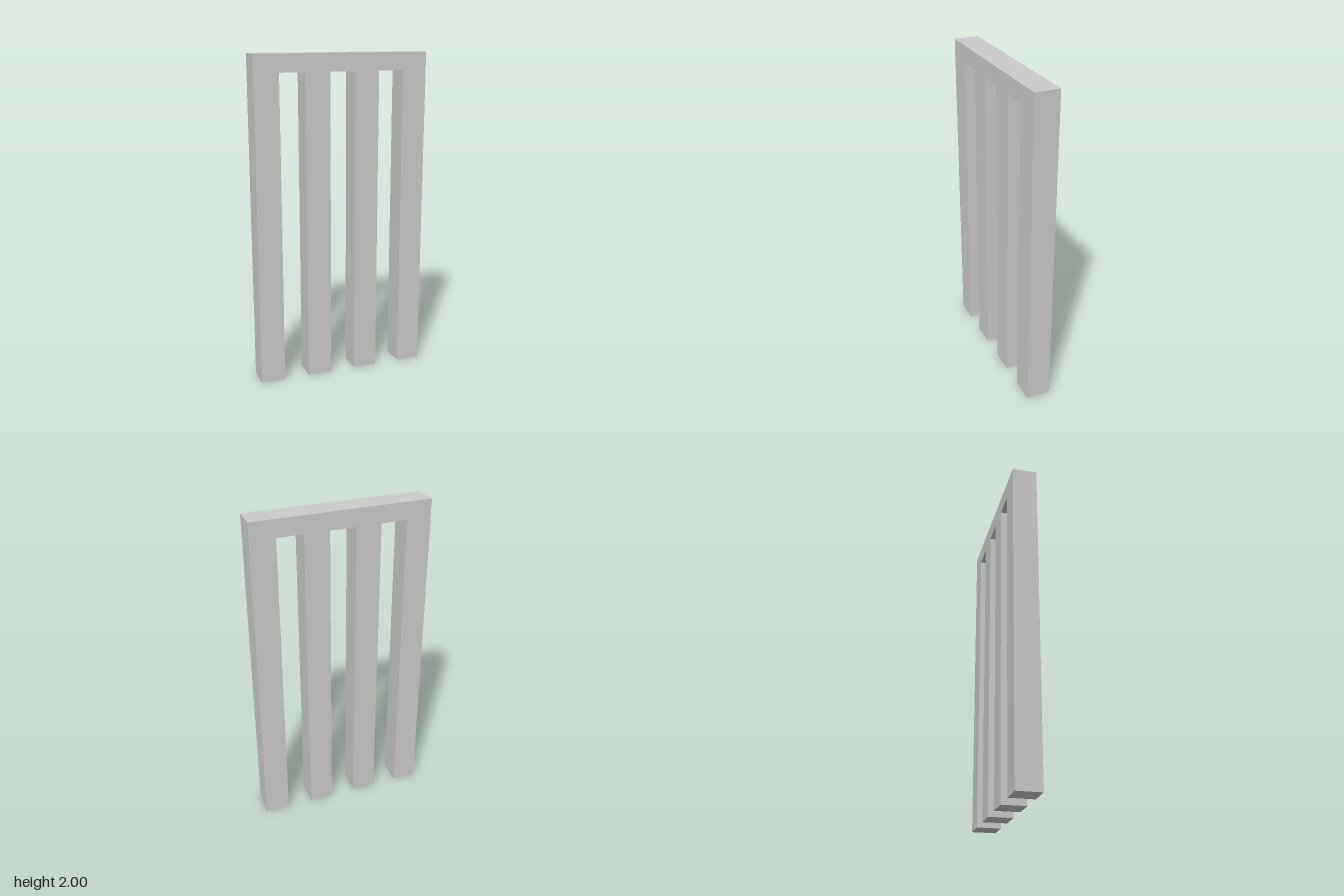
import * as THREE from 'three';

const HEIGHT = 2, DEPTH = 0.15, BAR = 0.107;
const LEGS = 4, LEG = 0.151, WIDTH = 1.075;
const PITCH = (WIDTH - LEG) / (LEGS - 1);

export function createModel() {
  const group = new THREE.Group();
  group.name = 'slottedFrame';

  // Comb outline: top bar with evenly spaced legs, cut as one solid
  const outline = new THREE.Shape();
  outline.moveTo(WIDTH / 2, HEIGHT);
  outline.lineTo(-WIDTH / 2, HEIGHT);
  for (let i = 0; i < LEGS; i++) {
    const x = -WIDTH / 2 + i * PITCH;
    if (i > 0) outline.lineTo(x, HEIGHT - BAR);
    outline.lineTo(x, 0);
    outline.lineTo(x + LEG, 0);
    if (i < LEGS - 1) outline.lineTo(x + LEG, HEIGHT - BAR);
  }
  outline.closePath();

  const geometry = new THREE.ExtrudeGeometry(outline, { depth: DEPTH, bevelEnabled: false });
  geometry.translate(0, 0, -DEPTH / 2);

  const material = new THREE.MeshStandardMaterial({ color: 0xcccccc, flatShading: true });
  const frame = new THREE.Mesh(geometry, material);
  frame.name = 'topBarAndLegs';
  group.add(frame);
  return group;
}
